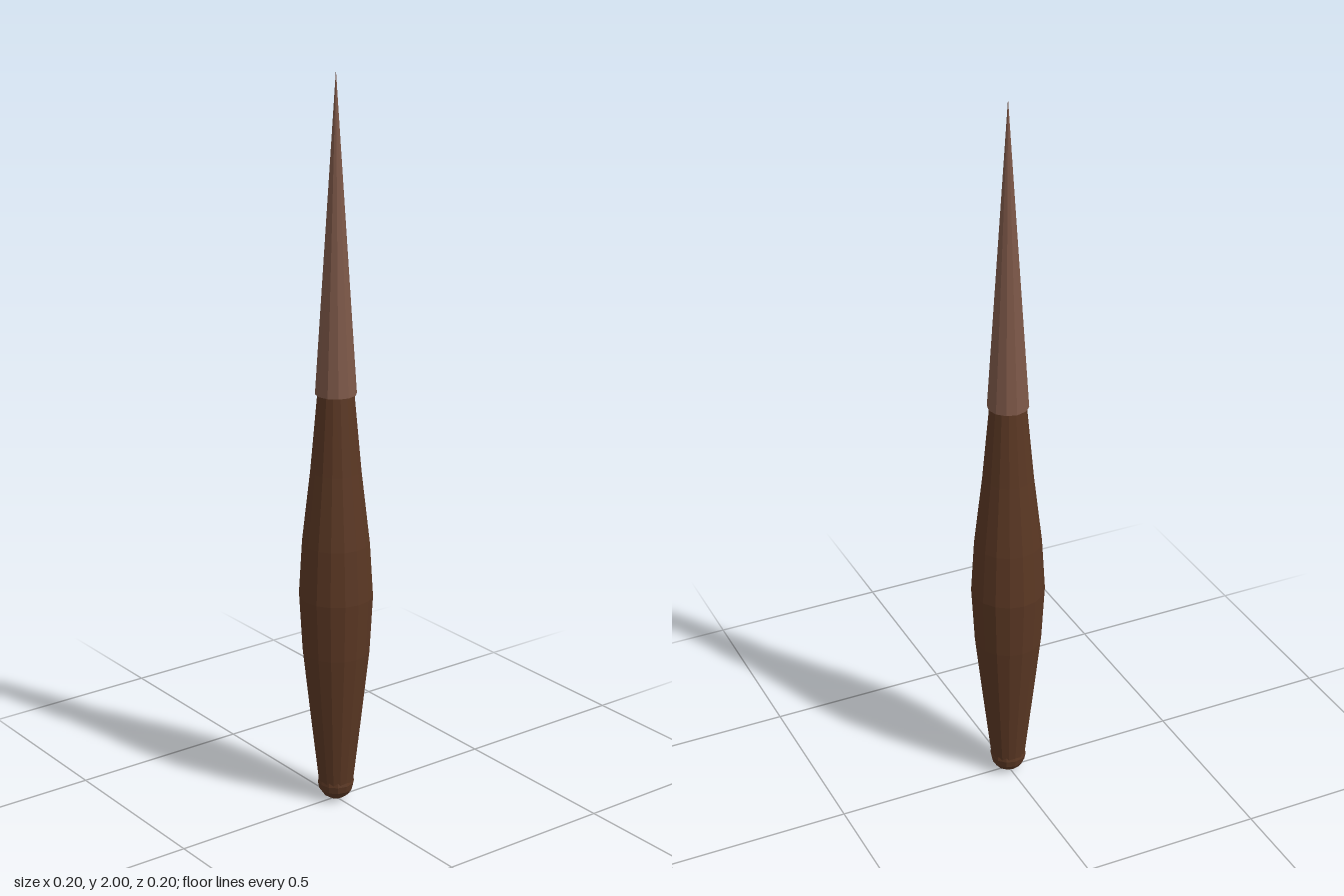
import * as THREE from 'three';

export function createModel() {
  const group = new THREE.Group();
  const darkWood = new THREE.MeshStandardMaterial({ color: 0x5a3723, flatShading: true });
  darkWood.name = 'darkWood';
  const lightWood = new THREE.MeshStandardMaterial({ color: 0x7d5848, flatShading: true });
  lightWood.name = 'lightWood';

  const add = (name, geometry, material, y = 0) => {
    const mesh = new THREE.Mesh(geometry, material);
    mesh.name = name;
    mesh.position.y = y;
    group.add(mesh);
  };

  // Swelling grip, closed at both ends
  const profile = [
    [0, 0.05], [0.047, 0.05], [0.07, 0.25], [0.091, 0.44], [0.1, 0.6],
    [0.091, 0.75], [0.068, 0.95], [0.048, 1.17], [0, 1.17],
  ].map(([r, y]) => new THREE.Vector2(r, y));
  add('grip', new THREE.LatheGeometry(profile, 16), darkWood);

  // Rounded butt
  add('buttKnob', new THREE.SphereGeometry(0.05, 12, 8), darkWood, 0.05);

  // Long tapering point, slightly wider than the neck of the grip
  add('point', new THREE.ConeGeometry(0.055, 0.84, 12), lightWood, 1.58);

  return group;
}
